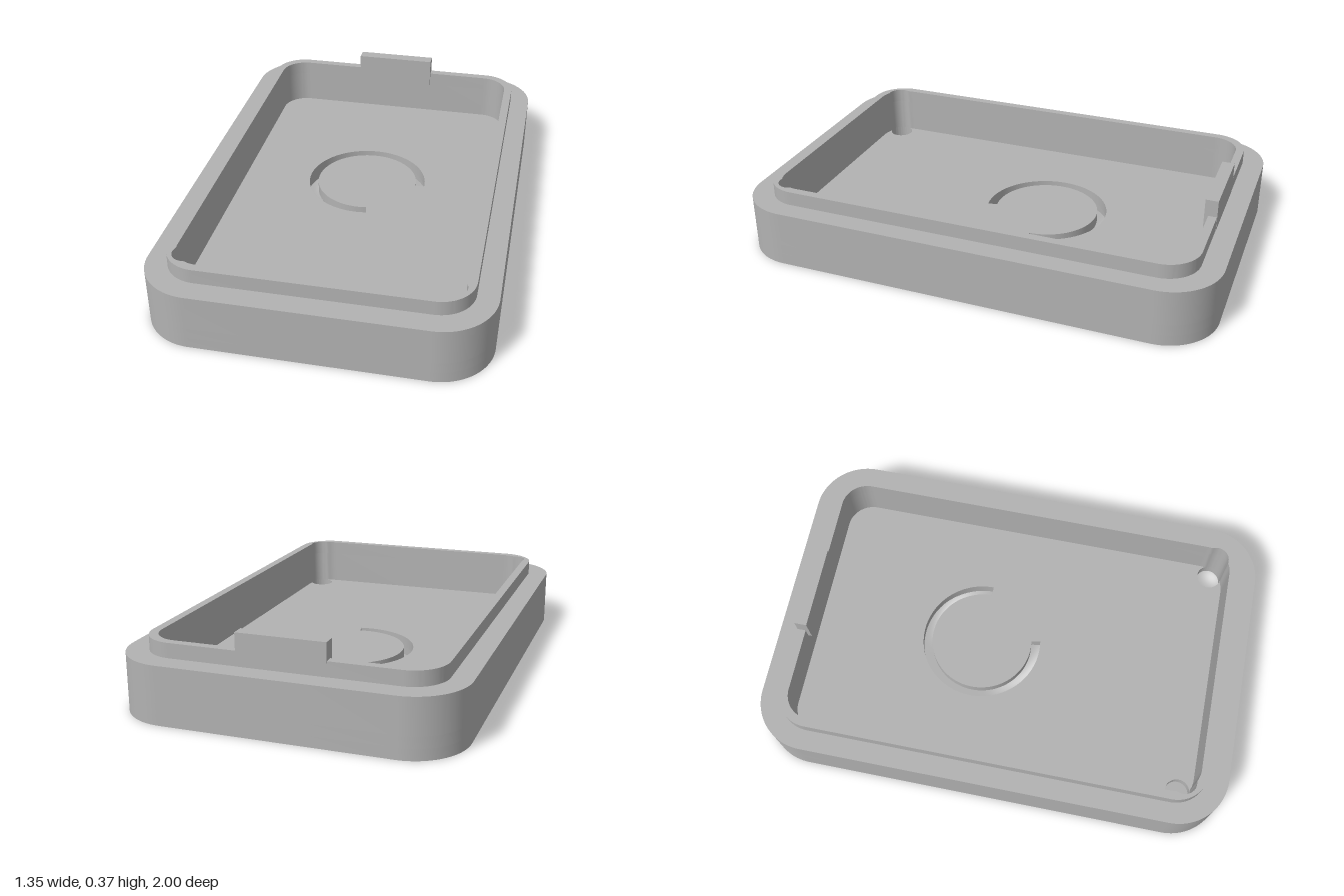
import * as THREE from 'three';
import { toCreasedNormals } from 'three/addons/utils/BufferGeometryUtils.js';

const SEG = 24;
const HOLE = { x: 0.507, z: 0.812, r: 0.052, bore: 0.08 };
const RING_Z = -0.145;
const FLOOR = 0.09, GROOVE = 0.045, SHOULDER = 0.235, RIM = 0.295;

// Rounded rectangle in plan (shape y = -z); a front corner can bulge around the screw hole
function outline(hx, hz, r, bulge = false) {
  const pts = [];
  [[1, 1], [-1, 1], [-1, -1], [1, -1]].forEach(([sx, sy], k) => {
    const cx = sx * (hx - r), cy = sy * (hz - r);
    const ox = sx * HOLE.x - cx, oy = -HOLE.z - cy;
    for (let i = 0; i <= SEG; i++) {
      const a = (k + i / SEG) * Math.PI / 2;
      const dx = Math.cos(a), dy = Math.sin(a);
      let d = r;
      if (bulge && sy < 0) {
        const p = dx * ox + dy * oy;
        const disc = p * p - ox * ox - oy * oy + HOLE.r ** 2;
        if (disc > 0) d = Math.max(d, p + Math.sqrt(disc));
      }
      pts.push(new THREE.Vector2(cx + d * dx, cy + d * dy));
    }
  });
  return pts;
}

const circle = (x, z, r) => new THREE.Path().absarc(x, -z, r, 0, Math.PI * 2, false);
const screwHoles = (r) => [-1, 1].map((s) => circle(s * HOLE.x, HOLE.z, r));

// C-shaped slot, open over most of the ring
function slot() {
  const end = THREE.MathUtils.degToRad(280);
  return new THREE.Path()
    .absarc(0, -RING_Z, 0.262, 0, end, false)
    .absarc(0, -RING_Z, 0.222, end, 0, true)
    .closePath();
}

// Flat layer between two heights
function layer(name, points, holes, y0, y1, material) {
  const shape = new THREE.Shape(points);
  shape.holes.push(...holes);
  const geo = new THREE.ExtrudeGeometry(shape, { depth: y1 - y0, bevelEnabled: false, curveSegments: 48 });
  geo.rotateX(-Math.PI / 2);
  geo.translate(0, y0, 0);
  const mesh = new THREE.Mesh(toCreasedNormals(geo, 0.6), material);
  mesh.name = name;
  return mesh;
}

export function createModel() {
  const group = new THREE.Group();
  group.name = 'caseShell';
  const grey = new THREE.MeshStandardMaterial({ color: 0xb2b2b2 });
  grey.name = 'grey';

  const outer = outline(0.675, 1, 0.22);
  const lip = outline(0.59, 0.91, 0.14);
  const cavity = () => new THREE.Path(outline(0.555, 0.875, 0.11, true));

  // Underside with ring groove and counterbored screw holes
  group.add(layer('underside', outer, [circle(0, RING_Z, 0.278), ...screwHoles(HOLE.bore)], 0, GROOVE, grey));
  const disc = circle(0, RING_Z, 0.205).getPoints(64).slice(0, -1);
  group.add(layer('centreDisc', disc, [], 0, GROOVE, grey));

  // Floor, side wall and stepped rim
  group.add(layer('floor', outer, [slot(), ...screwHoles(HOLE.r)], GROOVE, FLOOR, grey));
  group.add(layer('sideWall', outer, [cavity()], FLOOR, SHOULDER, grey));
  group.add(layer('rimLip', lip, [cavity()], SHOULDER, RIM, grey));

  // Latch tab at the back
  const tab = new THREE.Mesh(new THREE.BoxGeometry(0.354, 0.13, 0.052), grey);
  tab.name = 'latchTab';
  tab.position.set(0, 0.3, -0.885);
  group.add(tab);

  return group;
}
